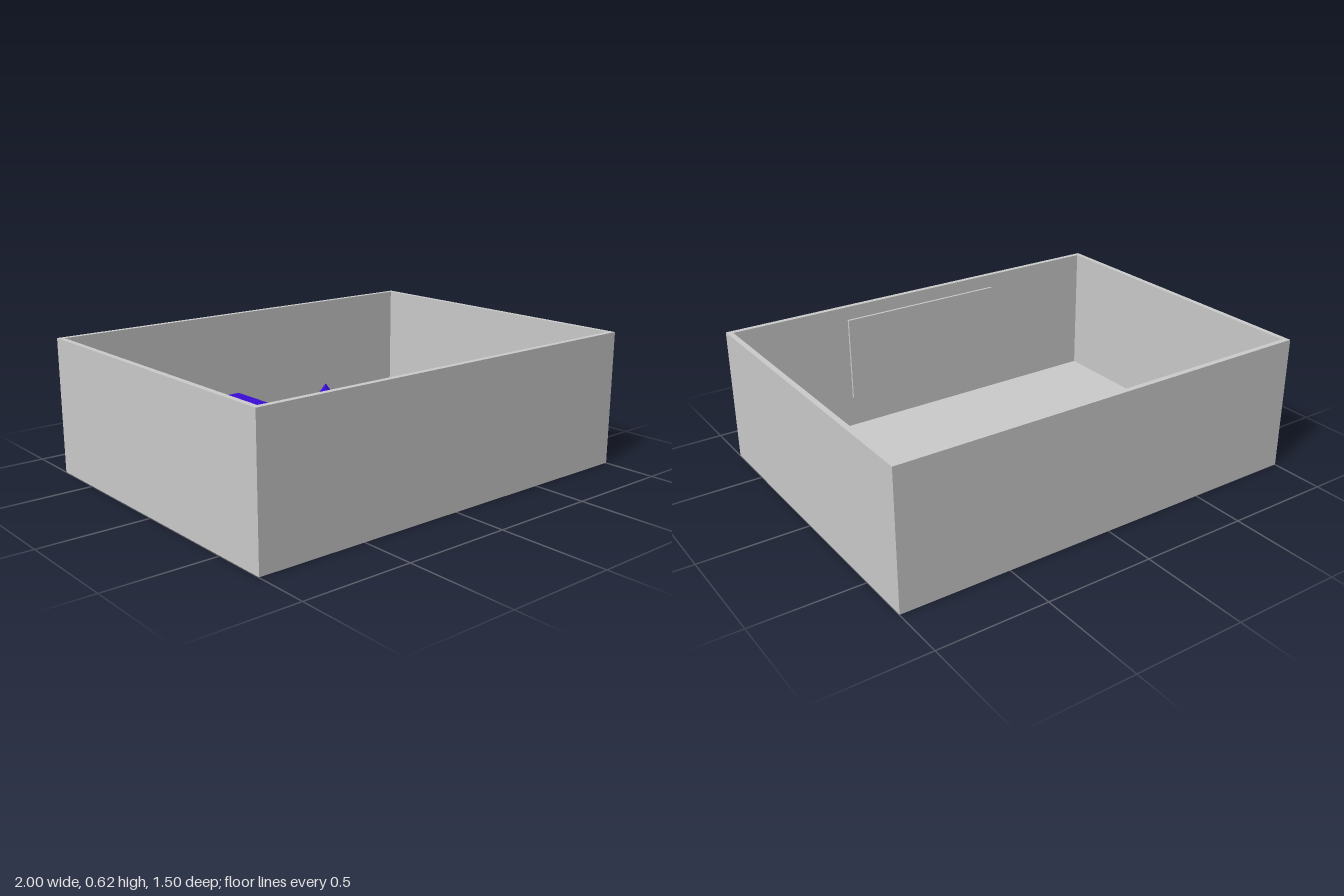
import * as THREE from 'three';

const W = 2, H = 0.625, D = 1.5, T = 0.025, FLOOR = 0.001;

export function createModel() {
  const model = new THREE.Group();
  const grey = new THREE.MeshStandardMaterial({ color: 0xcccccc });
  const violet = new THREE.MeshStandardMaterial({ color: 0x3a0bd8 });

  const add = (name, geometry, material, x, y, z) => {
    const mesh = new THREE.Mesh(geometry, material);
    mesh.name = name;
    mesh.position.set(x, y, z);
    model.add(mesh);
    return mesh;
  };

  // Open box: one rectangular ring extruded upwards
  const ring = new THREE.Shape([
    new THREE.Vector2(-W / 2, -D / 2), new THREE.Vector2(W / 2, -D / 2),
    new THREE.Vector2(W / 2, D / 2), new THREE.Vector2(-W / 2, D / 2),
  ]);
  const w = W / 2 - T, d = D / 2 - T;
  ring.holes.push(new THREE.Path([
    new THREE.Vector2(-w, -d), new THREE.Vector2(-w, d),
    new THREE.Vector2(w, d), new THREE.Vector2(w, -d),
  ]));
  const walls = new THREE.ExtrudeGeometry(ring, { depth: H - FLOOR, bevelEnabled: false });
  walls.rotateX(-Math.PI / 2);
  add('walls', walls, grey, 0, FLOOR, 0);

  // Thin floor sheet inside the walls
  add('floor', new THREE.BoxGeometry(2 * w, 0.003, 2 * d), grey, 0, FLOOR + 0.0015, 0);

  // Flat panel on the inner face of the front wall
  add('wallPanel', new THREE.BoxGeometry(0.82, 0.405, 0.012), grey, 0, 0.3575, d - 0.006);

  // Four solids standing in an arc near the back wall
  const S = 0.25;
  add('cylinder', new THREE.CylinderGeometry(S / 2, S / 2, S, 48), violet, -0.737, S / 2 + 0.002, -0.361);
  add('cube', new THREE.BoxGeometry(S, S, S), violet, -0.244, S / 2, -0.508);
  const pyramid = new THREE.ConeGeometry(S / Math.SQRT2, S, 4).rotateY(Math.PI / 4).toNonIndexed();
  pyramid.computeVertexNormals();
  add('pyramid', pyramid, violet, 0.33, S / 2, -0.505);
  add('sphere', new THREE.SphereGeometry(S / 2, 48, 32), violet, 0.765, S / 2 + 0.002, -0.354);

  return model;
}
